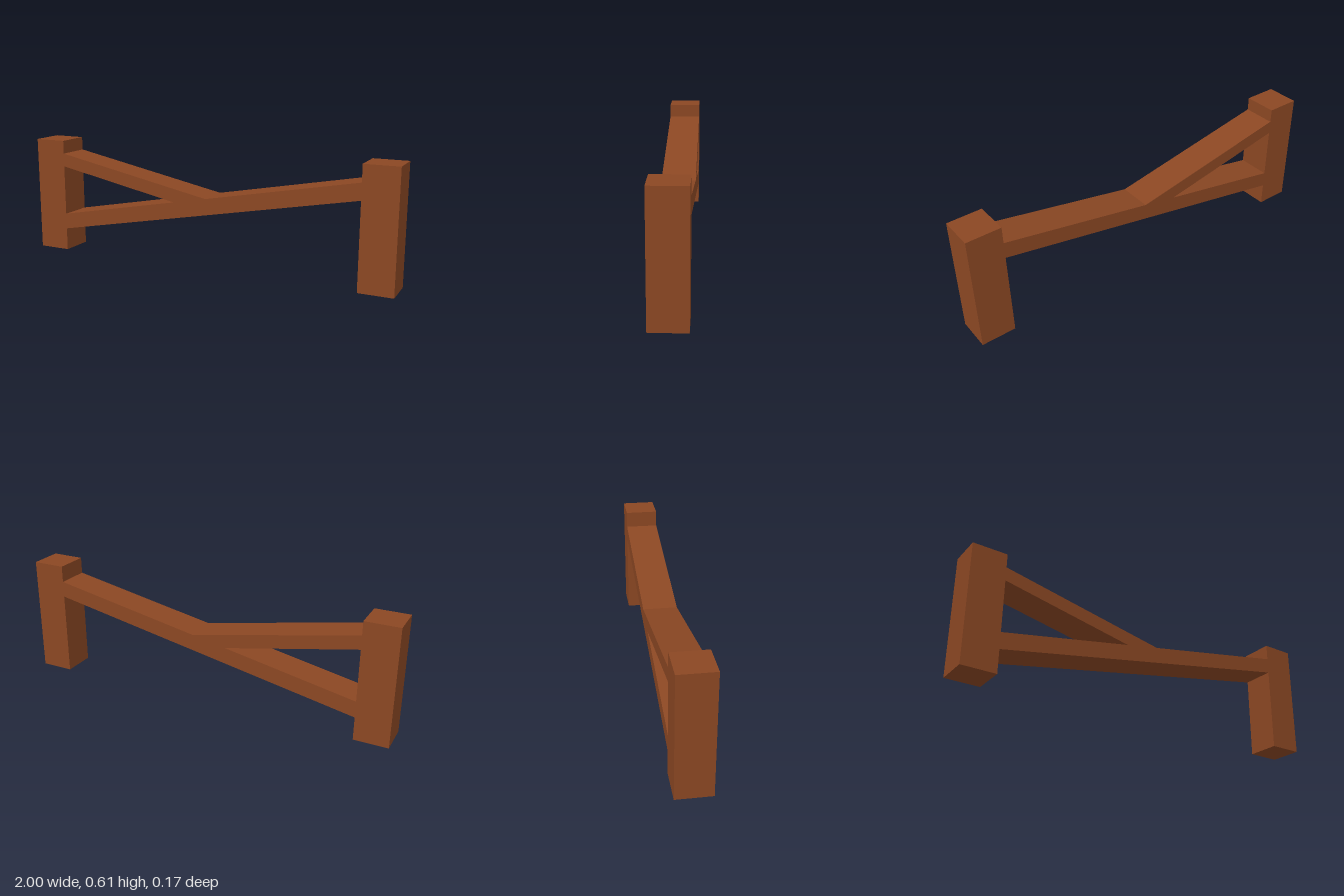
import * as THREE from 'three';

const DEPTH = 0.174, HEIGHT = 0.61, POST = 0.174;
const INNER = 1 - POST; // inner face of each post

export function createModel() {
  const group = new THREE.Group();
  const wood = new THREE.MeshStandardMaterial({ color: 0x8b4723 });
  wood.name = 'brown wood';

  const add = (name, geometry) => {
    const mesh = new THREE.Mesh(geometry, wood);
    mesh.name = name;
    group.add(mesh);
    return mesh;
  };

  // Flat outline extruded through the full depth
  const beam = (name, points) => {
    const shape = new THREE.Shape(points.map(([x, y]) => new THREE.Vector2(x, y)));
    const geometry = new THREE.ExtrudeGeometry(shape, { depth: DEPTH, bevelEnabled: false });
    add(name, geometry.translate(0, 0, -DEPTH / 2));
  };

  // Square end posts
  for (const [name, side] of [['rightPost', -1], ['leftPost', 1]]) {
    add(name, new THREE.BoxGeometry(POST, HEIGHT, DEPTH))
      .position.set(side * (1 - POST / 2), HEIGHT / 2, 0);
  }

  // Long rail climbing from the right post to the left post
  const railTop = (x) => 0.364 + 0.1935 * x;
  const thick = 0.084;
  beam('slopingRail', [
    [-INNER, railTop(-INNER) - thick], [INNER, railTop(INNER) - thick],
    [INNER, railTop(INNER)], [-INNER, railTop(-INNER)],
  ]);

  // Short brace falling from the right post onto the rail
  beam('brace', [
    [-INNER, 0.47], [-0.145, railTop(-0.145)],
    [0.035, railTop(0.035)], [-INNER, 0.54],
  ]);

  return group;
}
